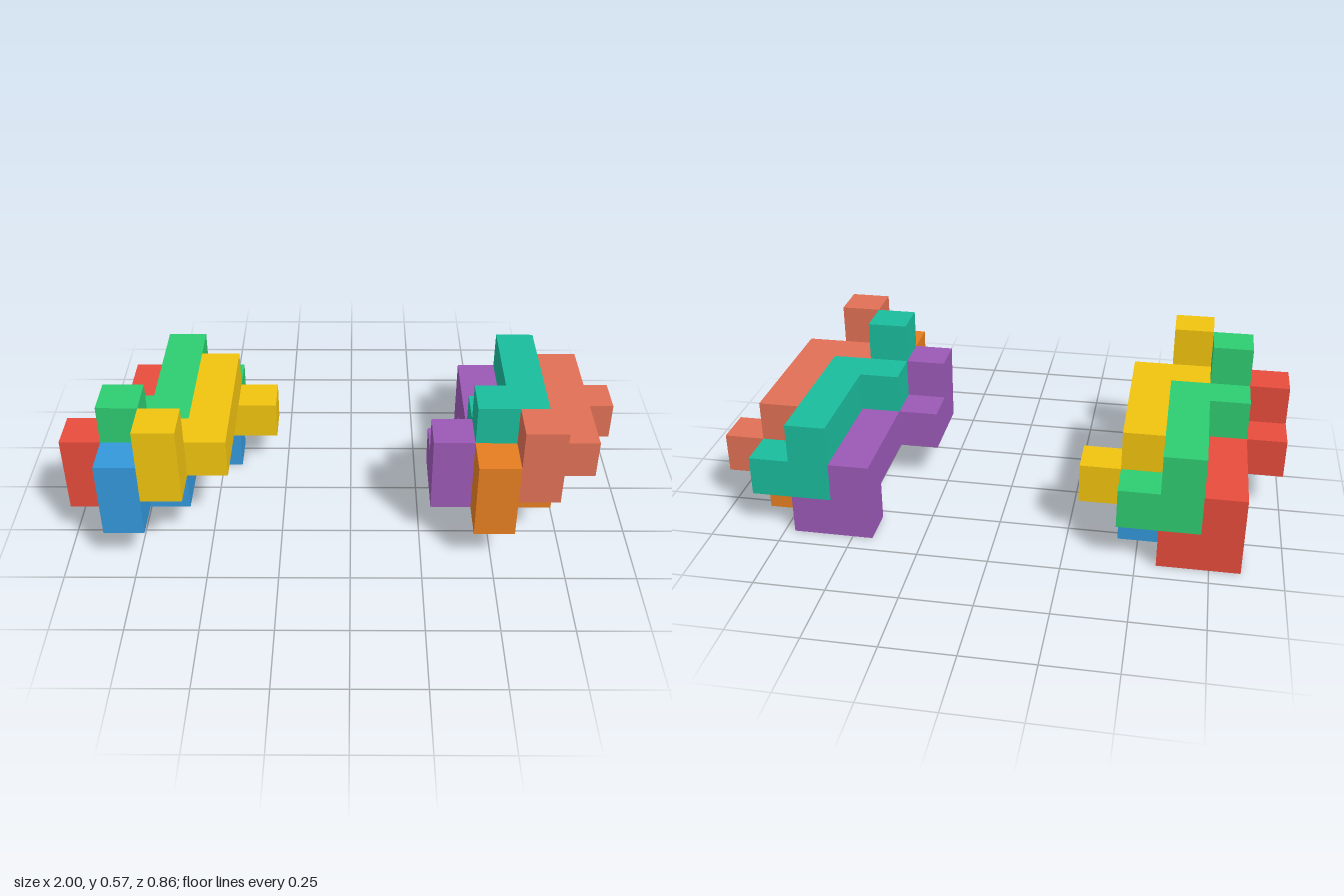
import * as THREE from 'three';
import { mergeGeometries } from 'three/addons/utils/BufferGeometryUtils.js';

const U = 1 / 7; // edge of one cube cell

// Cells of the one interlocking piece shape (x, y, z)
const CELLS = [
  [1, 1, 0], [1, 1, 1], [1, 1, 2], [1, 1, 3], // beam
  [1, 0, 0], [2, 0, 0],                       // hooked foot
  [0, 1, 3], [0, 1, 4], [0, 2, 4],            // arm and upright tip
];

// Six face directions with the rotation that turns a +z plane towards them
const FACES = [
  [[0, 0, 1], [0, 0, 0]], [[0, 0, -1], [0, Math.PI, 0]],
  [[1, 0, 0], [0, Math.PI / 2, 0]], [[-1, 0, 0], [0, -Math.PI / 2, 0]],
  [[0, 1, 0], [-Math.PI / 2, 0, 0]], [[0, -1, 0], [Math.PI / 2, 0, 0]],
];

// Closed shell: only the faces not shared by two cells of the piece
function pieceGeometry() {
  const filled = new Set(CELLS.map(String));
  const quads = [];
  for (const cell of CELLS) {
    for (const [dir, [rx, ry]] of FACES) {
      if (filled.has(String(cell.map((c, n) => c + dir[n])))) continue;
      const centre = cell.map((c, n) => (c + 0.5 + dir[n] / 2) * U);
      quads.push(new THREE.PlaneGeometry(U, U).rotateX(rx).rotateY(ry).translate(...centre));
    }
  }
  return mergeGeometries(quads);
}

// Where the four equal pieces sit in an assembly, in cells
const SLOTS = [
  { name: 'outerPiece', offset: [0, 0, 0] },
  { name: 'lowerPiece', offset: [1, 0, 1] },
  { name: 'upperPiece', offset: [1, 1, 0] },
  { name: 'innerPiece', offset: [2, 1, 1] },
];

function assembly(name, x, colors, geometry) {
  const group = new THREE.Group();
  group.name = name;
  SLOTS.forEach(({ name: slot, offset }, n) => {
    const mesh = new THREE.Mesh(geometry, new THREE.MeshStandardMaterial({ color: colors[n] }));
    mesh.name = slot;
    mesh.position.set(...offset.map((c) => c * U));
    group.add(mesh);
  });
  group.position.set(x, 0, -3 * U);
  return group;
}

export function createModel() {
  const model = new THREE.Group();
  model.name = 'interlockingPuzzles';
  const geometry = pieceGeometry();
  // red, blue, green, yellow / purple, orange, teal, salmon
  model.add(assembly('rightPuzzle', -1, [0xe74c3c, 0x3498db, 0x2ecc71, 0xf1c40f], geometry));
  model.add(assembly('leftPuzzle', 2 * U, [0x9b59b6, 0xe67e22, 0x1abc9c, 0xe17055], geometry));
  return model;
}
